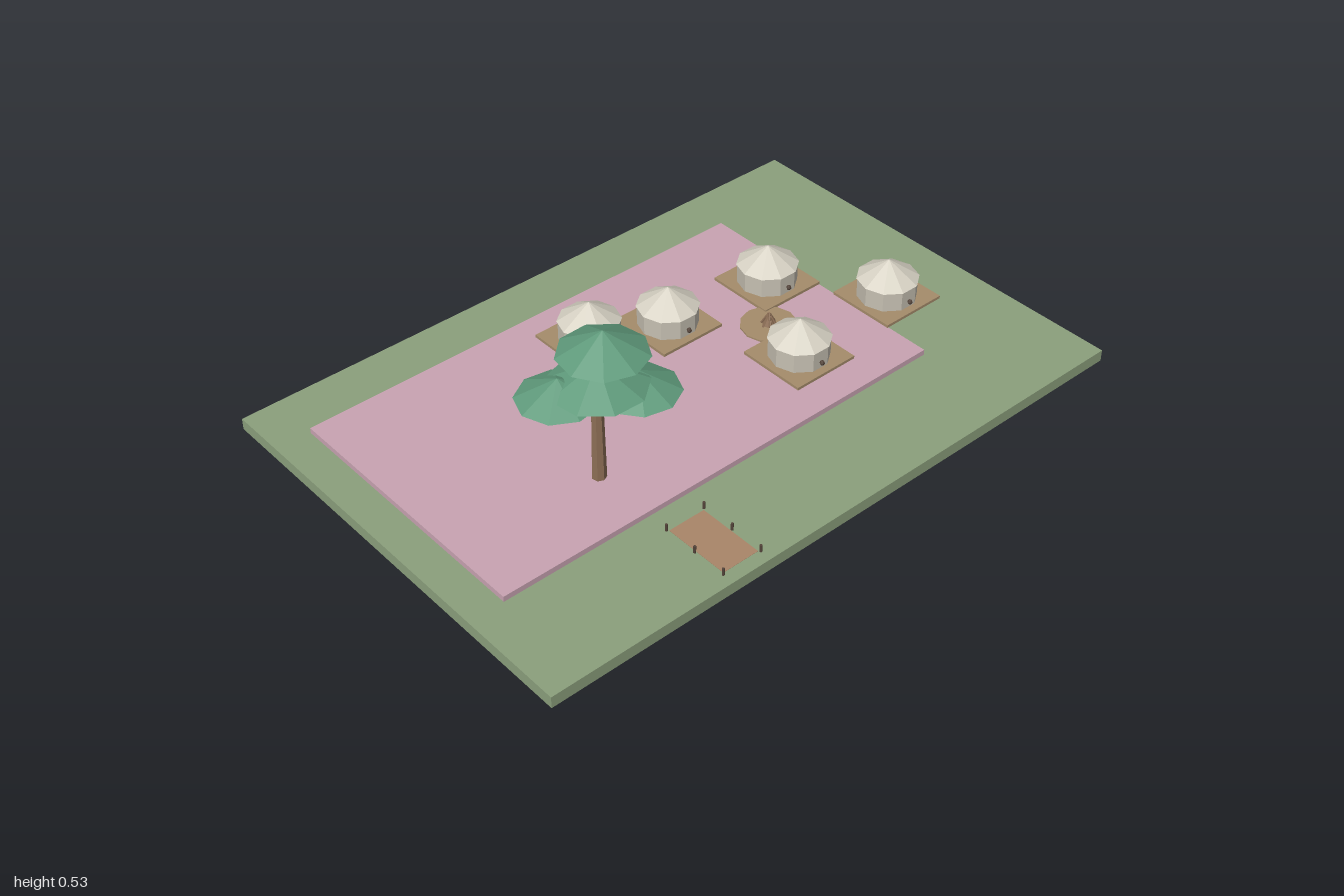
import * as THREE from 'three';

const mat = (name, color) => {
  const m = new THREE.MeshStandardMaterial({ color, flatShading: true });
  m.name = name;
  return m;
};

export function createModel() {
  const model = new THREE.Group();
  model.name = 'campsite';
  const grass = mat('grass green', 0x8b9f7c);
  const pink = mat('dusty pink', 0xc8a3b2);
  const tan = mat('tan deck', 0xa58c6b);
  const canvas = mat('roof canvas', 0xd6d1c3);
  const wall = mat('wall canvas', 0xc6c0b2);
  const leaf = mat('foliage green', 0x5f9a7b);
  const bark = mat('bark brown', 0x8c6e55);
  const dark = mat('dark brown', 0x54443a);
  const path = mat('path brown', 0xa98568);

  const add = (parent, name, geometry, material, x, y, z) => {
    const mesh = new THREE.Mesh(geometry, material);
    mesh.name = name;
    mesh.position.set(x, y, z);
    parent.add(mesh);
    return mesh;
  };
  // Box given by its extents
  const slab = (parent, name, material, x0, x1, y0, y1, z0, z1) =>
    add(parent, name, new THREE.BoxGeometry(x1 - x0, y1 - y0, z1 - z0), material,
      (x0 + x1) / 2, (y0 + y1) / 2, (z0 + z1) / 2);

  // Ground layers
  slab(model, 'ground', grass, -1, 1, 0, 0.036, -0.677, 0.677);
  slab(model, 'plaza', pink, -0.892, 0.605, 0.036, 0.053, -0.502, 0.355);

  // Round tents on square decks; ten sides with a flat side to the front
  const deckGeo = new THREE.BoxGeometry(0.22, 0.009, 0.22);
  const wallGeo = new THREE.CylinderGeometry(0.09, 0.09, 0.064, 10, 1, false, Math.PI / 2);
  const roofGeo = new THREE.ConeGeometry(0.0935, 0.061, 10, 1, false, Math.PI / 2);
  const knobGeo = new THREE.SphereGeometry(0.008, 6, 4);
  [[-0.075, -0.31], [0.14, -0.217], [0.497, -0.18], [0.318, 0.141], [0.711, 0.104]].forEach(([x, z]) => {
    const tent = new THREE.Group();
    tent.name = 'tent';
    tent.position.set(x, 0, z);
    add(tent, 'deck', deckGeo, tan, 0, 0.0575, 0);
    add(tent, 'wall', wallGeo, wall, 0, 0.093, 0);
    add(tent, 'roof', roofGeo, canvas, 0, 0.1545, 0);
    add(tent, 'doorLamp', knobGeo, dark, 0, 0.083, 0.092);
    model.add(tent);
  });

  // Fire pit with a cone of leaning logs
  const pit = new THREE.Group();
  pit.name = 'firePit';
  pit.position.set(0.355, 0.053, -0.022);
  add(pit, 'pitFloor', new THREE.CylinderGeometry(0.085, 0.085, 0.005, 12), tan, 0, 0.0025, 0);
  add(pit, 'woodPile', new THREE.ConeGeometry(0.022, 0.036, 7), bark, 0, 0.021, 0);
  for (let i = 0; i < 6; i++) {
    const a = i / 6 * Math.PI * 2;
    const log = add(pit, 'log', new THREE.CylinderGeometry(0.003, 0.004, 0.044, 5), bark,
      Math.cos(a) * 0.012, 0.023, Math.sin(a) * 0.012);
    log.quaternion.setFromUnitVectors(new THREE.Vector3(0, 1, 0),
      new THREE.Vector3(-Math.cos(a) * 0.55, 1, -Math.sin(a) * 0.55).normalize());
  }
  model.add(pit);

  // Tree: tapered trunk and faceted foliage
  const tree = new THREE.Group();
  tree.name = 'tree';
  add(tree, 'trunk', new THREE.CylinderGeometry(0.015, 0.021, 0.35, 7), bark, -0.432, 0.226, 0.165);
  [[-0.414, 0.458, 0.173, 0.125, 0.069, 0.2], [-0.43, 0.363, 0.168, 0.138, 0.072, 0.5],
    [-0.52, 0.338, 0.118, 0.115, 0.06, 0], [-0.328, 0.316, 0.207, 0.116, 0.062, 0.3]]
    .forEach(([x, y, z, r, h, turn]) => {
      const clump = add(tree, 'foliage', new THREE.SphereGeometry(1, 9, 2), leaf, x, y, z);
      clump.scale.set(r, h, r);
      clump.rotation.y = turn;
    });
  model.add(tree);

  // Entrance path with posts on both sides
  slab(model, 'path', path, -0.42, -0.302, 0.03, 0.0368, 0.43, 0.635);
  const postGeo = new THREE.CylinderGeometry(0.004, 0.004, 0.024, 6);
  for (const x of [-0.425, -0.297])
    for (const z of [0.425, 0.533, 0.64]) add(model, 'post', postGeo, dark, x, 0.046, z);

  return model;
}
